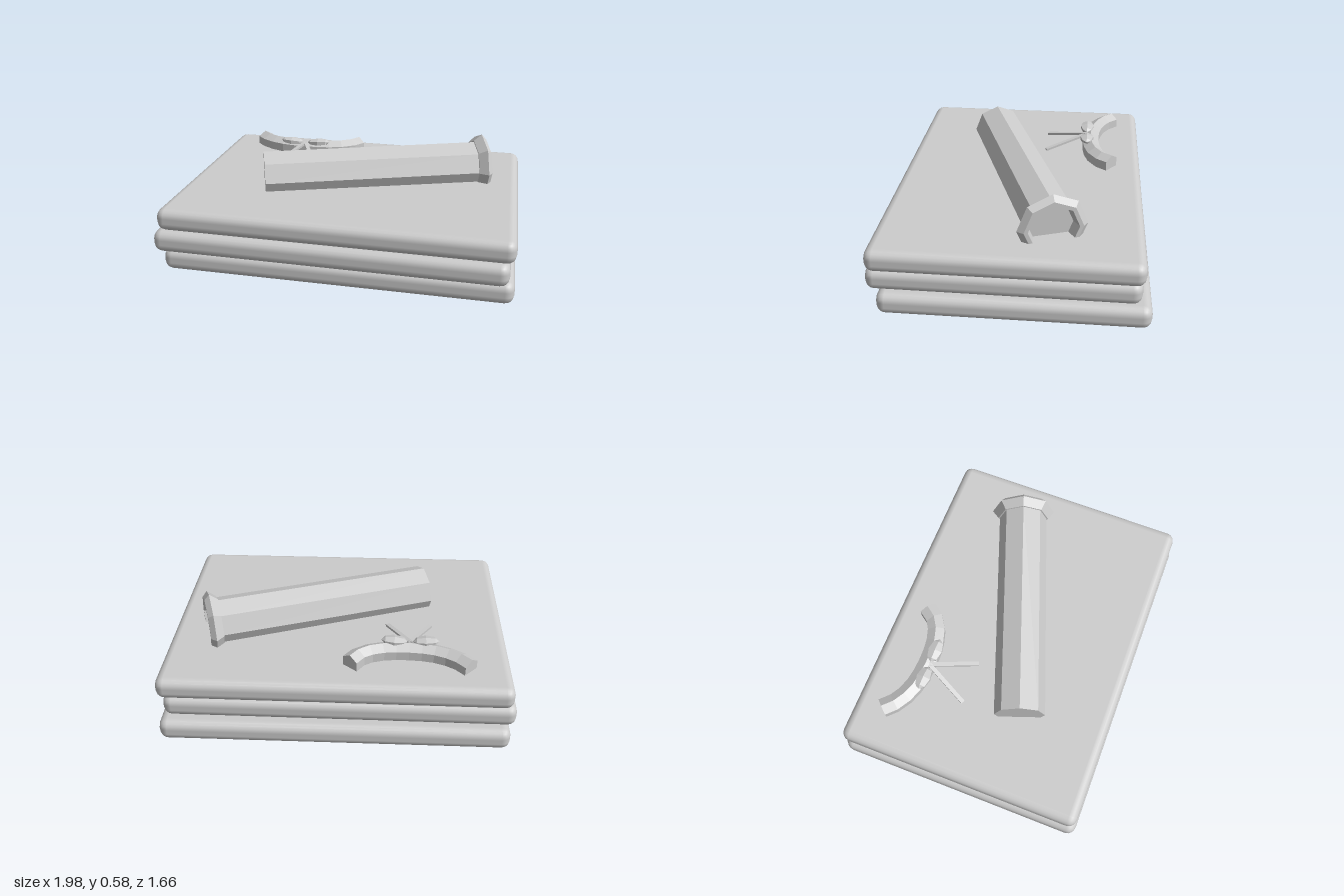
import * as THREE from 'three';
import { RoundedBoxGeometry } from 'three/addons/geometries/RoundedBoxGeometry.js';

export function createModel() {
  const model = new THREE.Group();
  const grey = new THREE.MeshStandardMaterial({ color: 0xcccccc });
  grey.name = 'light grey';
  // faceted version of the same colour, for the low-poly parts
  const faceted = grey.clone();
  faceted.flatShading = true;

  const add = (parent, name, geometry, material, x = 0, y = 0, z = 0) => {
    const mesh = new THREE.Mesh(geometry, material);
    mesh.name = name;
    mesh.position.set(x, y, z);
    parent.add(mesh);
    return mesh;
  };

  // Three stacked padded slabs, each nudged a little
  const slabs = [
    [0, 0.07, -0.015, 0.215],
    [-0.015, 0.186, 0.035, 0.21],
    [0.005, 0.3, 0.02, 0.21],
  ];
  slabs.forEach(([x, y, z, turn], i) => {
    const slab = add(model, `slab${i + 1}`, new RoundedBoxGeometry(1.75, 0.115, 1.29, 2, 0.045), grey, x, y, z);
    slab.rotation.set(0, turn, -0.007);
  });

  // Eight-sided tube with a flared hollow rim, lying half sunk in the top slab
  const tube = new THREE.Group();
  tube.name = 'tube';
  tube.position.set(-0.396, 0.41, 0.3);
  tube.rotation.y = 0.555;
  model.add(tube);
  const lathe = (name, points) => {
    const g = new THREE.LatheGeometry(points.map(([r, t]) => new THREE.Vector2(r, t)), 8);
    g.rotateZ(-Math.PI / 2); // axis to +x, one corner upward
    return add(tube, name, g, faceted);
  };
  lathe('tubeBody', [[0, 0], [0.132, 0], [0.132, 1.145]]);
  lathe('tubeRim', [[0.128, 1.139], [0.14, 1.139], [0.173, 1.181], [0.145, 1.207], [0.125, 1.207], [0.11, 1.15], [0, 1.15]]);

  // Curved bar with closed ends
  const path = new THREE.CatmullRomCurve3([
    [-0.749, -0.318], [-0.676, -0.273], [-0.559, -0.249], [-0.409, -0.265],
    [-0.29, -0.303], [-0.206, -0.362], [-0.168, -0.438],
  ].map(([x, z]) => new THREE.Vector3(x, 0.382, z)));
  const r = 0.052;
  add(model, 'curvedBar', new THREE.TubeGeometry(path, 10, r, 6), faceted);
  for (const t of [0, 1]) {
    const cap = new THREE.CircleGeometry(r, 6);
    cap.rotateZ(Math.PI / 2);
    const end = path.getPointAt(t);
    const out = path.getTangentAt(t).multiplyScalar(t ? 1 : -1);
    const mesh = add(model, 'curvedBarEnd', cap, faceted, end.x, end.y, end.z);
    mesh.lookAt(end.clone().add(out));
  }

  // Bow loops
  for (const [x, z, tilt] of [[-0.507, -0.222, -0.06], [-0.352, -0.256, 0.06]]) {
    const g = new THREE.SphereGeometry(1, 6, 4);
    g.rotateZ(Math.PI / 2);
    g.scale(0.066, 0.022, 0.042);
    add(model, 'bowLoop', g, faceted, x, 0.432, z).rotation.set(0, 0.2, tilt);
  }

  // Ribbon tails running down from the bow to the slab
  const knot = new THREE.Vector3(-0.43, 0.425, -0.24);
  for (const [x, z] of [[-0.492, 0.01], [-0.272, -0.037]]) {
    const tip = new THREE.Vector3(x, 0.366, z);
    const mid = knot.clone().lerp(tip, 0.5);
    const tail = add(model, 'ribbonTail', new THREE.BoxGeometry(0.022, 0.012, knot.distanceTo(tip)), faceted, mid.x, mid.y, mid.z);
    tail.lookAt(tip);
  }

  return model;
}
